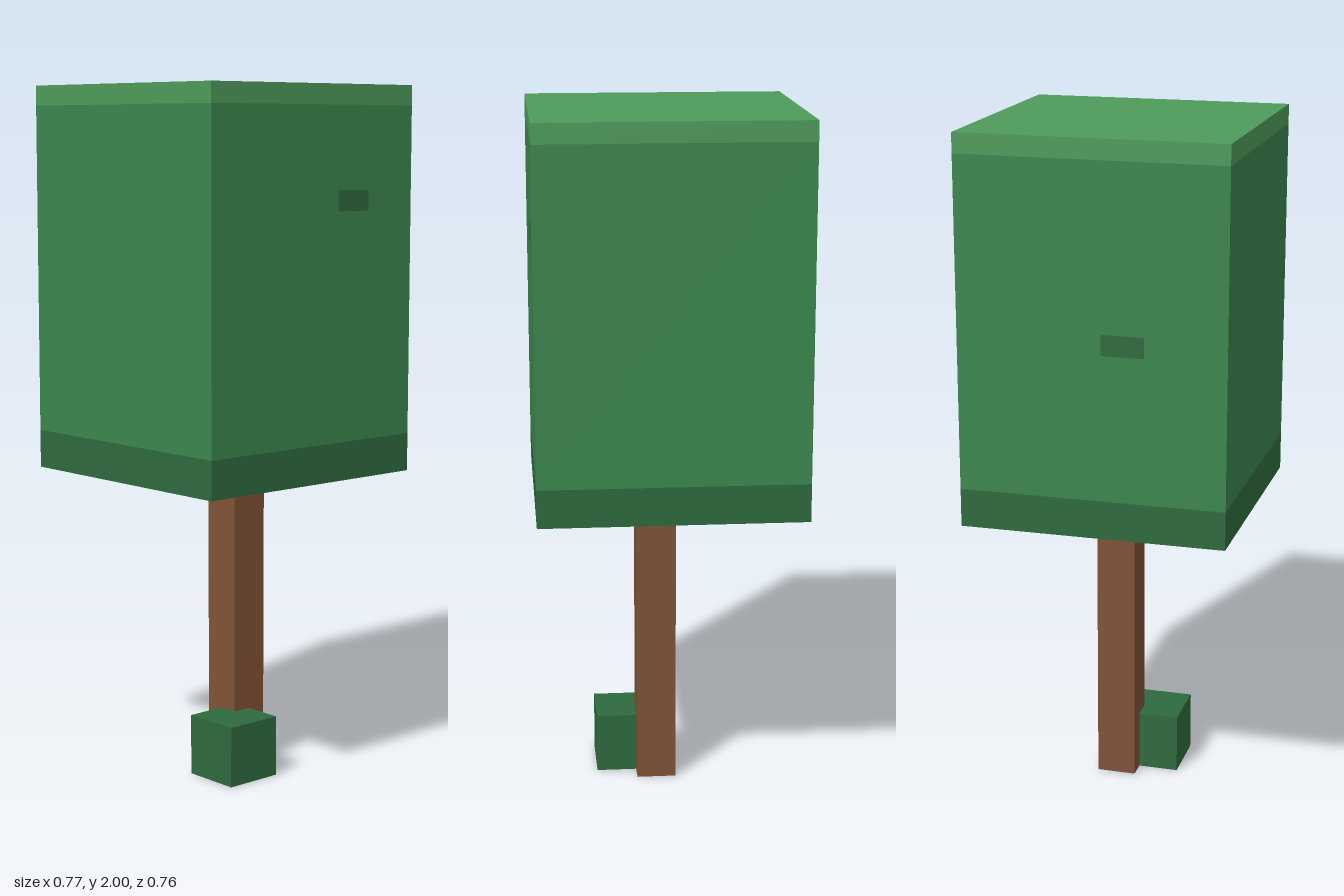
import * as THREE from 'three';

const material = (color) => new THREE.MeshStandardMaterial({ color, flatShading: true });

export function createModel() {
  const tree = new THREE.Group();
  tree.name = 'blockTree';

  const bark = material(0x815337);
  const lightLeaf = material(0x4e9b5b);
  const midLeaf = material(0x3b874e);
  const darkLeaf = material(0x2e6b3e);

  // Box given by its lowest and highest corners
  const block = (name, mat, min, max) => {
    const size = max.map((v, i) => v - min[i]);
    const mesh = new THREE.Mesh(new THREE.BoxGeometry(...size), mat);
    mesh.position.set(...min.map((v, i) => (v + max[i]) / 2));
    mesh.name = name;
    tree.add(mesh);
  };

  // Trunk, slightly off centre, with a small bush at its foot
  block('trunk', bark, [-0.03, 0, -0.085], [0.085, 0.89, 0.03]);
  block('bush', darkLeaf, [0.027, 0, -0.027], [0.203, 0.177, 0.149]);

  // Canopy in three stacked bands, darkest at the bottom
  const r = 0.381;
  const bands = [
    ['canopyBottom', darkLeaf, 0.89, 1.0],
    ['canopyMiddle', midLeaf, 1.0, 1.943],
    ['canopyTop', lightLeaf, 1.943, 2.0],
  ];
  for (const [name, mat, y0, y1] of bands) block(name, mat, [-r, y0, -r], [r, y1, r]);

  // Dark leaf patches, nearly flush with the two sides
  const lift = 0.002;
  block('leafPatchRight', darkLeaf, [r - 0.01, 1.65, -0.206], [r + lift, 1.708, -0.087]);
  block('leafPatchLeft', darkLeaf, [-r - lift, 1.415, 0.03], [-r + 0.01, 1.473, 0.149]);

  return tree;
}
